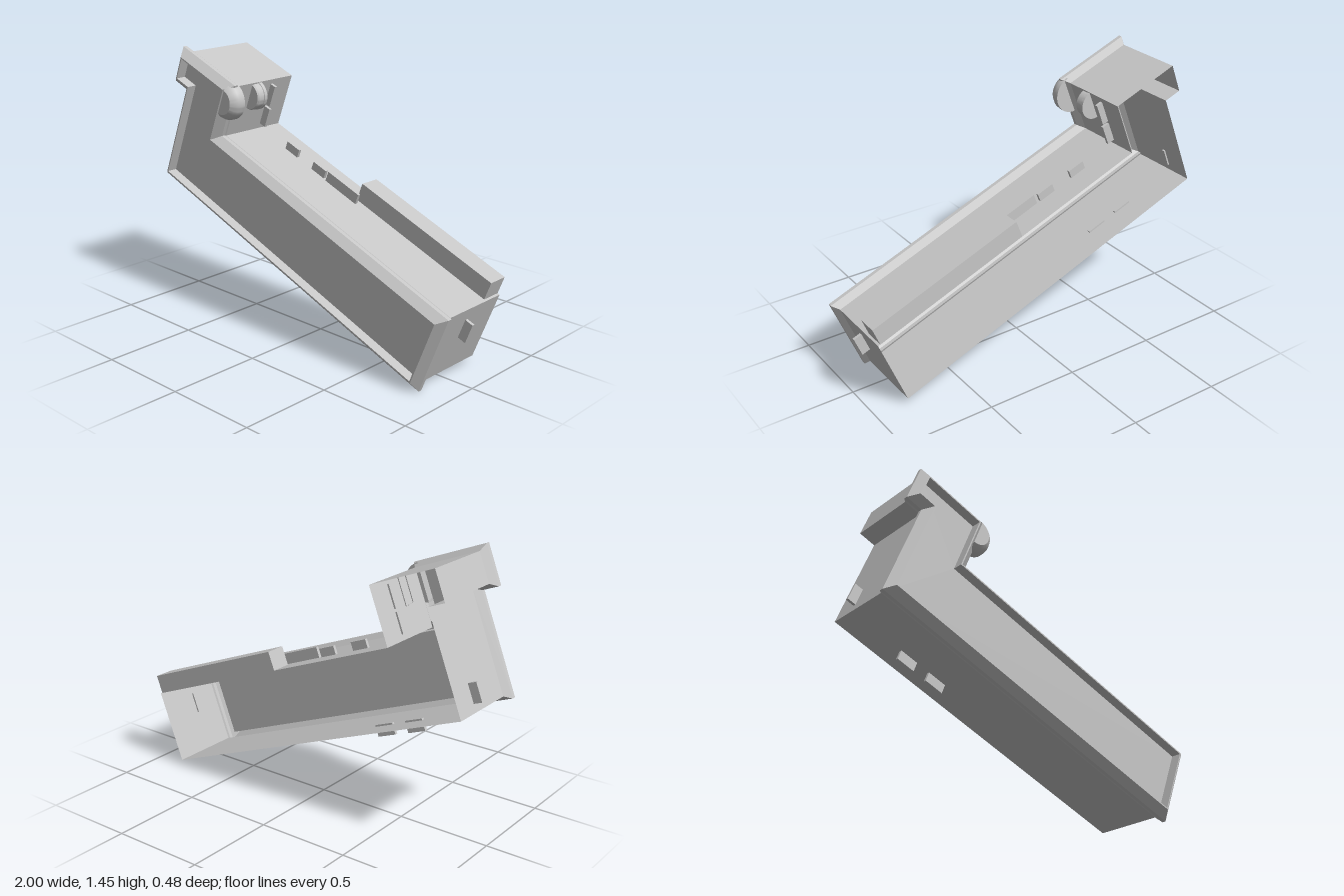
import * as THREE from 'three';
import { toCreasedNormals } from 'three/addons/utils/BufferGeometryUtils.js';

export function createModel() {
  const model = new THREE.Group();
  model.name = 'angledHousing';
  const grey = new THREE.MeshStandardMaterial({ color: 0xc6c6c6, side: THREE.DoubleSide });
  grey.name = 'grey plastic';

  // Everything is built square, then tilted as one piece.
  const body = new THREE.Group();
  body.name = 'tiltedBody';
  body.position.set(-1, 0.717, 0);
  body.rotation.z = -THREE.MathUtils.degToRad(21.3);
  model.add(body);

  const add = (name, geometry) => {
    const mesh = new THREE.Mesh(geometry, grey);
    mesh.name = name;
    body.add(mesh);
    return mesh;
  };
  const box = (name, x0, x1, y0, y1, z0, z1) => {
    const mesh = add(name, new THREE.BoxGeometry(x1 - x0, y1 - y0, z1 - z0));
    mesh.position.set((x0 + x1) / 2, (y0 + y1) / 2, (z0 + z1) / 2);
  };

  // Outer outline of the flange, counter-clockwise
  const outline = [[0, 0], [1.97, 0], [1.97, 0.445], [0.335, 0.445],
    [0.335, 0.75], [-0.095, 0.75], [-0.095, 0.54], [0, 0.54]];
  const n = outline.length;
  const inset = d => outline.map(([x, y], i) => {
    const [px, py] = outline[(i + n - 1) % n];
    const [qx, qy] = outline[(i + 1) % n];
    return [
      x - d * (Math.sign(y - py) + Math.sign(qy - y)),
      y + d * (Math.sign(x - px) + Math.sign(qx - x)),
    ];
  });

  // Thin open-backed shell: wall, bulging flange and recess behind the lip [inset, z]
  const rings = [[0.025, -0.242], [0.025, 0.144], [0, 0.181], [0, 0.202],
    [0.039, 0.242], [0.046, 0.242], [0.046, 0.187]]
    .map(([d, z]) => inset(d).map(([x, y]) => [x, y, z]));
  const positions = [];
  for (let r = 0; r < rings.length - 1; r++) {
    for (let i = 0; i < n; i++) {
      const j = (i + 1) % n;
      const a = rings[r][i], b = rings[r][j], c = rings[r + 1][j], d = rings[r + 1][i];
      positions.push(...a, ...b, ...c, ...a, ...c, ...d);
    }
  }
  const shell = new THREE.BufferGeometry();
  shell.setAttribute('position', new THREE.Float32BufferAttribute(positions, 3));
  shell.computeVertexNormals();
  add('shellWall', shell);

  // Front panel at the bottom of the recess
  const panel = new THREE.Shape(inset(0.046).map(([x, y]) => new THREE.Vector2(x, y)));
  add('frontPanel', new THREE.ShapeGeometry(panel)).position.z = 0.187;

  // Raised bar along the rear of the long top wall
  box('topBar', 1.052, 1.932, 0.42, 0.52, -0.242, -0.132);

  // Thin tabs set into the walls [x0, x1, y0, y1, z]
  const tabs = [
    [0.529, 0.622, 0.41, 0.465, -0.105],
    [0.737, 0.832, 0.41, 0.465, -0.105],
    [0.852, 1.077, 0.41, 0.476, -0.1],
    [0.338, 0.441, -0.029, 0.034, -0.1],
    [0.52, 0.627, -0.027, 0.034, -0.1],
    [-0.022, 0.034, 0.067, 0.167, -0.1],
    [1.936, 1.991, 0.24, 0.35, -0.014],
    [0.301, 0.351, 0.45, 0.56, -0.1],
    [0.301, 0.345, 0.575, 0.697, -0.1],
  ];
  tabs.forEach(([x0, x1, y0, y1, z], i) =>
    box('tab' + (i + 1), x0, x1, y0, y1, z - 0.008, z + 0.008));

  // Half-round knobs on the inner side of the head [radius, z]
  const knob = (name, profile) => {
    const g = new THREE.LatheGeometry(
      profile.map(([r, z]) => new THREE.Vector2(r, z)), 32, 0, Math.PI);
    g.rotateX(Math.PI / 2);
    add(name, toCreasedNormals(g, 0.5)).position.set(0.305, 0.643, 0);
  };
  knob('frontKnob', [[0, 0.167], [0.102, 0.167], [0.102, 0.185], [0.099, 0.205],
    [0.088, 0.225], [0.068, 0.242], [0, 0.242]]);
  knob('rearKnob', [[0, -0.016], [0.078, -0.016], [0.078, 0.002], [0.074, 0.004],
    [0.074, 0.038], [0.068, 0.046], [0, 0.046]]);

  return model;
}
